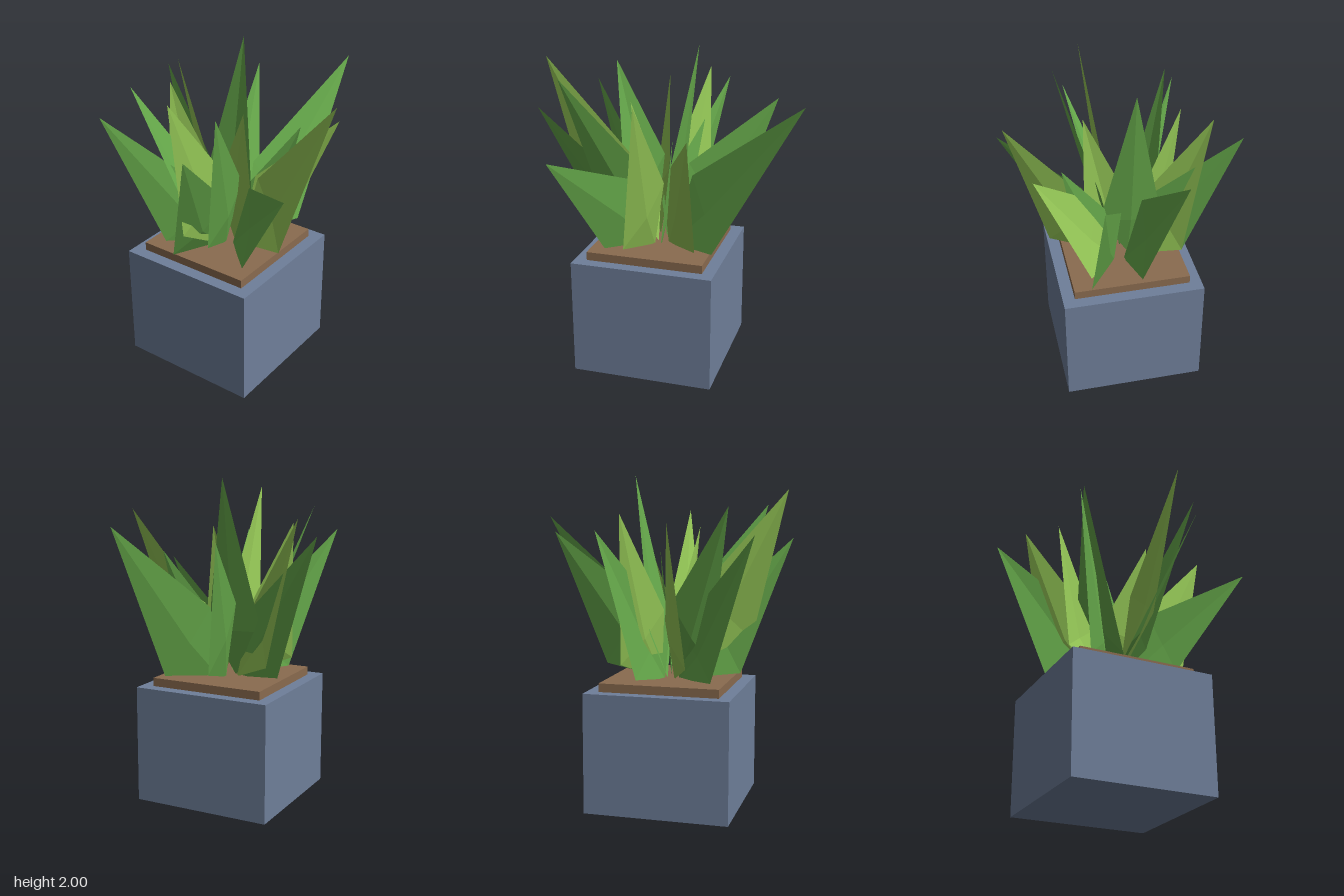
import * as THREE from 'three';

const material = (color, side = THREE.FrontSide) =>
  new THREE.MeshStandardMaterial({ color, side, flatShading: true });
const green = material(0x68ac4c, THREE.DoubleSide);
const lime = material(0x96c957, THREE.DoubleSide);

function box(name, w, h, d, y, mat) {
  const mesh = new THREE.Mesh(new THREE.BoxGeometry(w, h, d), mat);
  mesh.name = name;
  mesh.position.set(-0.02, y + h / 2, 0.112);
  return mesh;
}

// Kite-shaped blade, lightly folded along its middle rib.
function leaf(tip, low, high, mat) {
  const [t, a, b] = [tip, low, high].map((p) => new THREE.Vector3(...p));
  const root = new THREE.Vector3(-0.01, 0.77, 0.1);
  root.lerp(new THREE.Vector3(a.x, 0.77, a.z), 0.2);
  const normal = b.clone().sub(a).cross(t.clone().sub(root)).normalize();
  // The rib is pushed to the outer side of the rosette.
  const outward = normal.x * (t.x - root.x) + normal.z * (t.z - root.z) - normal.y * 0.5;
  const rib = a.clone().lerp(b, 0.5).addScaledVector(normal, outward < 0 ? -0.025 : 0.025);
  const faces = [[root, a, rib], [a, t, rib], [t, b, rib], [b, root, rib]];
  const geometry = new THREE.BufferGeometry().setFromPoints(faces.flat());
  geometry.computeVertexNormals();
  const mesh = new THREE.Mesh(geometry, mat);
  mesh.name = 'leaf';
  return mesh;
}

export function createModel() {
  const model = new THREE.Group();
  model.name = 'pottedPlant';

  // Square planter with a raised slab of soil
  model.add(box('pot', 0.875, 0.727, 0.875, 0, material(0x6f7f9a)));
  model.add(box('soil', 0.725, 0.052, 0.725, 0.727, material(0x8a6b4f)));

  // Rosette of leaves: tip, lower side corner, upper side corner
  const leaves = new THREE.Group();
  leaves.name = 'leaves';
  leaves.add(
    // back
    leaf([0.255, 1.75, -0.8], [0.24, 0.81, -0.28], [0.02, 1.22, -0.1], green),
    leaf([-0.26, 1.665, -0.56], [-0.07, 0.85, -0.3], [-0.12, 1.25, -0.04], green),
    leaf([-0.065, 2, -0.115], [-0.26, 1.07, 0.03], [0.12, 1.07, 0.06], green),
    // right side
    leaf([-0.685, 1.685, -0.16], [-0.39, 0.81, -0.02], [-0.06, 1.1, 0.1], green),
    leaf([-0.53, 1.775, -0.07], [-0.36, 0.89, -0.12], [-0.16, 1.2, 0.09], lime),
    leaf([-0.4, 1.73, 0.165], [-0.36, 0.88, 0.27], [-0.1, 1.12, 0.08], lime),
    leaf([-0.485, 1.66, 0.685], [-0.28, 0.79, 0.4], [-0.06, 1.06, 0.15], green),
    leaf([-0.39, 1.815, 0.52], [-0.05, 0.85, 0.35], [-0.26, 1.25, 0.16], green),
    // front
    leaf([0.21, 1.625, 0.805], [-0.1, 0.83, 0.545], [0.12, 1.15, 0.3], green),
    leaf([0.105, 1.915, 0.785], [0.02, 1.02, 0.59], [0.05, 1.3, 0.25], lime),
    leaf([0.295, 1.825, 0.635], [0.06, 0.87, 0.42], [0.1, 1.2, 0.13], green),
    leaf([0.18, 1.69, 0.23], [0.2, 1, 0.16], [-0.09, 1.12, 0.13], lime),
    // left side
    leaf([0.675, 1.435, 0.56], [0.28, 0.79, 0.38], [0.2, 1.22, 0.2], green),
    leaf([0.67, 1.79, 0.05], [0.42, 0.86, 0.21], [0.15, 1.2, 0.04], lime),
    leaf([0.545, 1.585, -0.21], [0.22, 0.8, -0.17], [0.14, 1.22, 0.05], lime),
    leaf([0.365, 1.55, -0.08], [0.25, 0.85, 0.03], [0.05, 1.1, 0.06], green),
  );
  model.add(leaves);
  return model;
}
